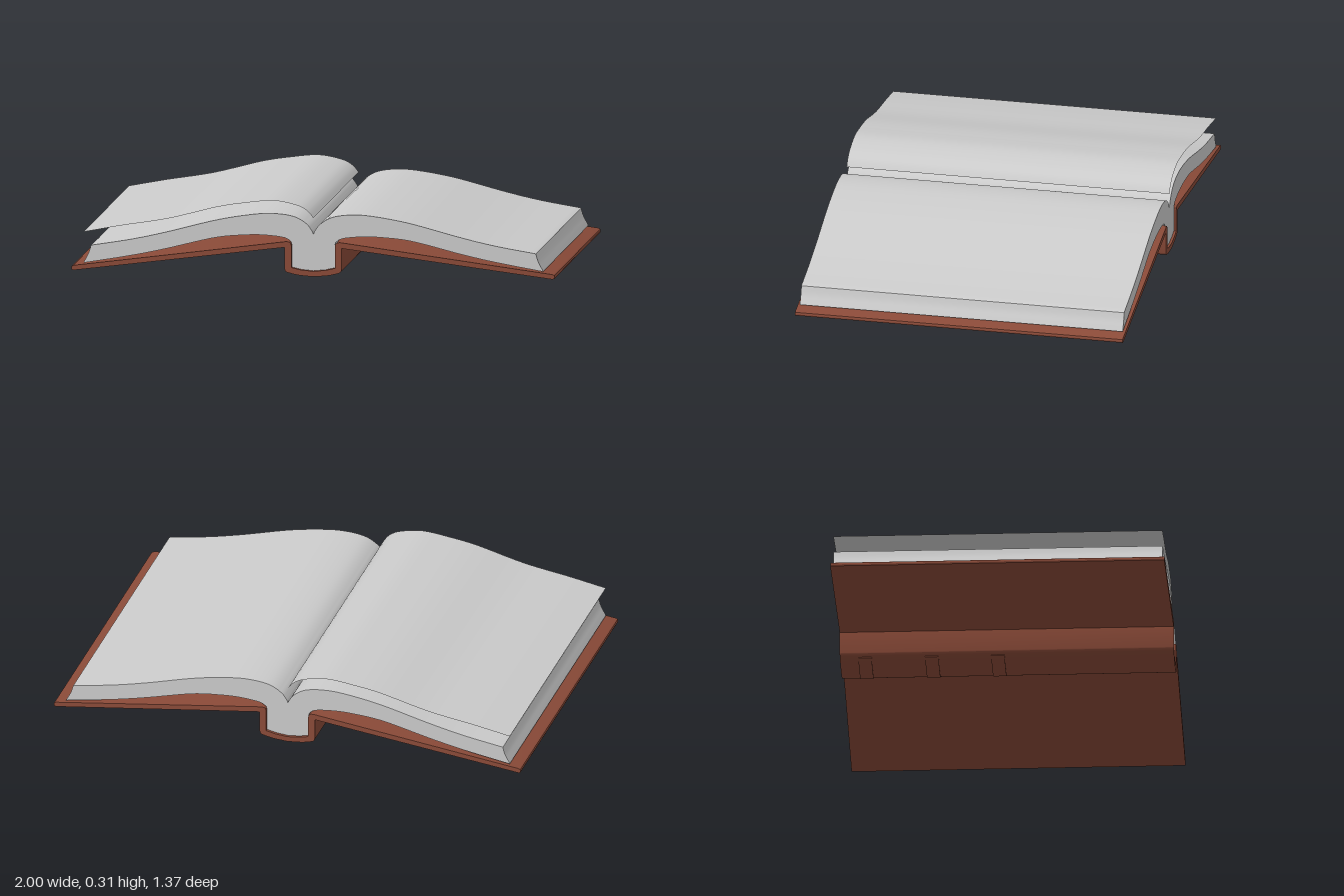
import * as THREE from 'three';
import { toCreasedNormals } from 'three/addons/utils/BufferGeometryUtils.js';

const vectors = (pts) => pts.map(([x, y]) => new THREE.Vector2(x, y));

// Smooth curve through a few points, sampled evenly
const smooth = (pts, n) => new THREE.SplineCurve(vectors(pts)).getPoints(n);

// Close a right-hand half profile with its mirror image
function mirrored(half) {
  const other = half.filter((p) => p.x > 0.0001).reverse();
  return half.concat(other.map((p) => new THREE.Vector2(-p.x, p.y)));
}

// Extrude a cross-section along z, centred on z, with smooth curves and sharp edges
function slab(name, outline, depth, material, z = 0) {
  const geometry = new THREE.ExtrudeGeometry(new THREE.Shape(outline), {
    depth, bevelEnabled: false,
  });
  geometry.translate(0, 0, z - depth / 2);
  const mesh = new THREE.Mesh(toCreasedNormals(geometry, 0.5), material);
  mesh.name = name;
  return mesh;
}

export function createModel() {
  const book = new THREE.Group();
  book.name = 'openBook';
  const paper = new THREE.MeshStandardMaterial({ color: 0xcccccc });
  const sheet = new THREE.MeshStandardMaterial({ color: 0xcccccc, side: THREE.DoubleSide });
  const leather = new THREE.MeshStandardMaterial({ color: 0x8a4a38 });

  // Cover: rounded spine, hinges and two sloping boards in one cross-section
  const coverHalf = [
    ...smooth([[0, 0.004], [0.06, 0.009], [0.1, 0.018], [0.114, 0.024], [0.118, 0.036]], 12),
    ...vectors([
      [0.118, 0.123], [0.99, 0.012], [0.998, 0.014], [1, 0.02], [0.998, 0.028], [0.99, 0.032],
      [0.112, 0.147], [0.1, 0.146], [0.093, 0.141], [0.09, 0.132],
      [0.09, 0.04], [0.05, 0.031], [0, 0.026],
    ]),
  ];
  // The inner side is walked back separately, so the outline stays one loop
  const left = coverHalf.slice(1, -1).reverse().map((p) => new THREE.Vector2(-p.x, p.y));
  book.add(slab('cover', [...coverHalf, ...left], 1.37, leather));

  // Page block: two arched stacks meeting in the gutter and seated in the spine
  const pagesHalf = [
    ...vectors([[0, 0.027], [0.05, 0.032], [0.089, 0.041], [0.089, 0.135]]),
    ...smooth([[0.092, 0.145], [0.12, 0.162], [0.2, 0.171], [0.28, 0.17], [0.41, 0.156],
      [0.61, 0.107], [0.76, 0.075], [0.95, 0.042]], 36),
    ...smooth([[0.947, 0.05], [0.93, 0.082], [0.92, 0.114]], 6),
    ...smooth([[0.915, 0.116], [0.75, 0.144], [0.6, 0.178], [0.4, 0.23], [0.25, 0.256],
      [0.16, 0.261], [0.08, 0.25], [0.03, 0.222], [0.008, 0.195], [0, 0.178]], 44),
  ];
  book.add(slab('pageBlock', mirrored(pagesHalf), 1.35, paper));

  // Loose page lifted above the right-hand stack
  const curve = smooth([[0, 0.245], [-0.025, 0.274], [-0.07, 0.297], [-0.165, 0.314],
    [-0.28, 0.303], [-0.4, 0.283], [-0.6, 0.232], [-0.79, 0.2], [-0.95, 0.17]], 40);
  const pageGeometry = new THREE.PlaneGeometry(1, 1.35, 40, 1);
  pageGeometry.rotateX(-Math.PI / 2);
  const position = pageGeometry.attributes.position;
  for (let i = 0; i < position.count; i++) {
    const p = curve[40 - (i % 41)];
    position.setXY(i, p.x, p.y);
  }
  pageGeometry.computeVertexNormals();
  const page = new THREE.Mesh(pageGeometry, sheet);
  page.name = 'liftedPage';
  book.add(page);

  // Raised bands across the outside of the spine
  const bandHalf = [
    ...smooth([[0, 0], [0.06, 0.005], [0.1, 0.014]], 8),
    ...smooth([[0.1, 0.019], [0.06, 0.01], [0, 0.005]], 8),
  ];
  const bandLeft = bandHalf.slice(1, -1).reverse().map((p) => new THREE.Vector2(-p.x, p.y));
  for (const z of [-0.037, -0.308, -0.582]) {
    book.add(slab('spineBand', [...bandHalf, ...bandLeft], 0.055, leather, z));
  }

  return book;
}
